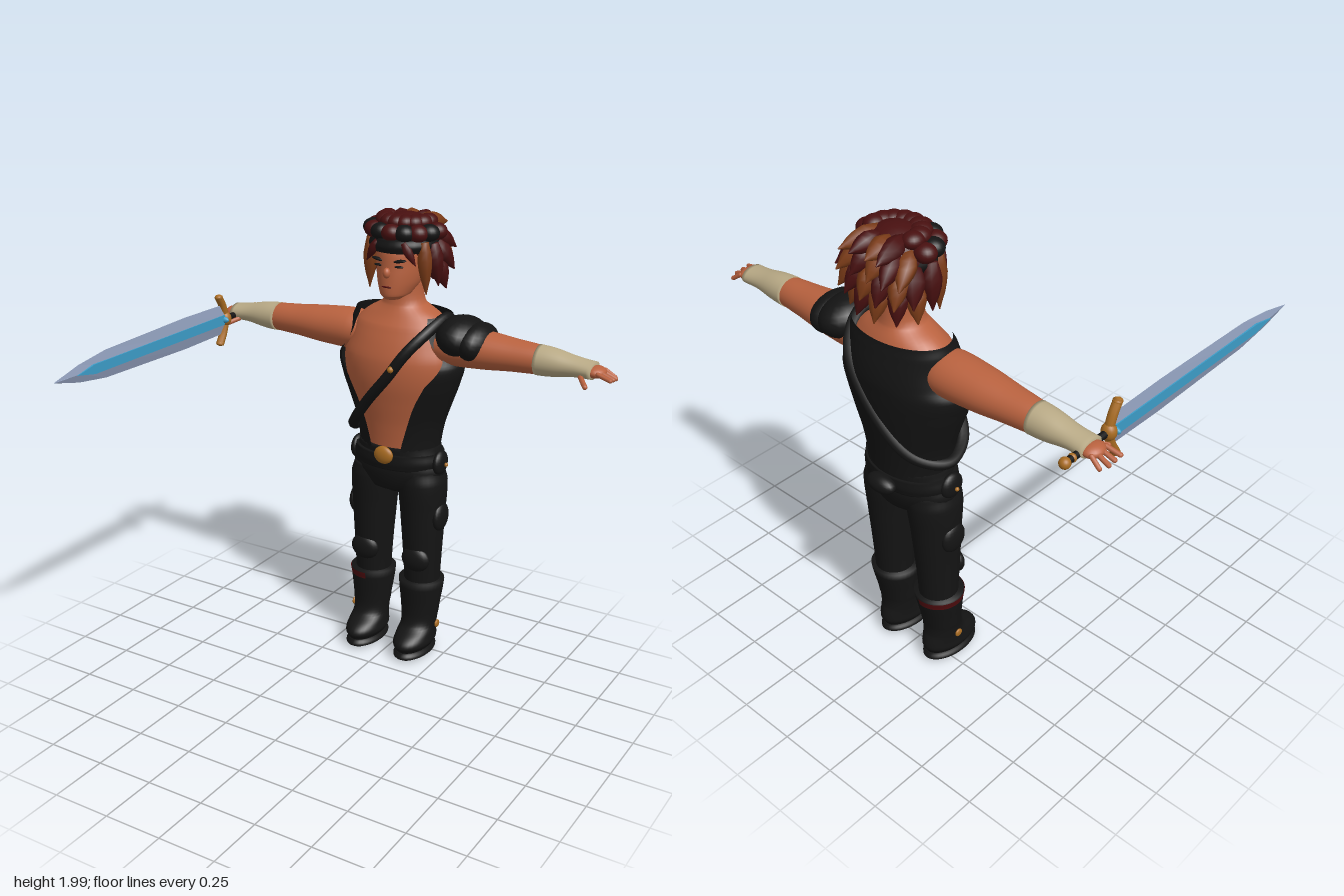
import * as THREE from 'three';

const V = (x, y, z) => new THREE.Vector3(x, y, z);
const mat = (name, color, both) => {
  const m = new THREE.MeshStandardMaterial({ color });
  m.name = name;
  if (both) m.side = THREE.DoubleSide;
  return m;
};

// Loft of elliptical rings [y, cx, rx, cz, rz, openX], rising in y.
// openX leaves a gap of that half-width at the front.
function loft(rings, { seg = 32, sub = 5, flat = false } = {}) {
  const open = rings[0].length > 5, rows = [];
  for (let i = 0; i < rings.length - 1; i++) {
    for (let k = 0; k < sub; k++) {
      const t = k / sub, t2 = t * t, t3 = t2 * t;
      const p = rings[Math.max(i - 1, 0)], a = rings[i], b = rings[i + 1];
      const q = rings[Math.min(i + 2, rings.length - 1)];
      rows.push(a.map((v, c) => c === 0 ? v + (b[c] - v) * t :
        v * (2 * t3 - 3 * t2 + 1) + b[c] * (3 * t2 - 2 * t3)
        + (b[c] - p[c]) / 2 * (t3 - 2 * t2 + t) + (q[c] - v) / 2 * (t3 - t2)));
    }
  }
  rows.push(rings[rings.length - 1]);
  const n = open ? seg + 1 : seg, pos = [], idx = [];
  for (const [y, cx, rx, cz, rz, xo = 0] of rows) {
    const a0 = Math.asin(Math.min(1, xo / rx));
    for (let j = 0; j < n; j++) {
      const a = a0 + (2 * Math.PI - 2 * a0) * j / seg;
      pos.push(cx + rx * Math.sin(a), y, cz + rz * Math.cos(a));
    }
  }
  for (let i = 0; i < rows.length - 1; i++) {
    for (let j = 0; j < seg; j++) {
      const a = i * n + j, b = i * n + (j + 1) % n;
      idx.push(a, b, b + n, a, b + n, a + n);
    }
  }
  if (!open) {
    const last = (rows.length - 1) * n, c = rows.length * n;
    for (const r of [rows[0], rows[rows.length - 1]]) pos.push(r[1], r[0], r[3]);
    for (let j = 0; j < n; j++) {
      const k = (j + 1) % n;
      idx.push(c, k, j, c + 1, last + j, last + k);
    }
  }
  let g = new THREE.BufferGeometry();
  g.setAttribute('position', new THREE.Float32BufferAttribute(pos, 3));
  g.setIndex(idx);
  if (flat) g = g.toNonIndexed();
  g.computeVertexNormals();
  return g;
}

export function createModel() {
  const root = new THREE.Group();
  root.name = 'swordsman';
  const skin = mat('skin', 0xb9623f), black = mat('black leather', 0x141414, true);
  const wrap = mat('linen', 0xb9aa86), gold = mat('gold', 0xa96c22);
  const hair = mat('dark red hair', 0x481010), tips = mat('brown hair', 0x7c3c18);
  const steel = mat('steel', 0x8f9dba), core = mat('blue steel', 0x3d9dc8);
  const red = mat('red cloth', 0x4f0c0e, true);

  const add = (name, geo, m, parent = root) => {
    const mesh = new THREE.Mesh(geo, m);
    mesh.name = name;
    parent.add(mesh);
    return mesh;
  };
  const ball = (name, m, x, y, z, rx, ry = rx, rz = rx, parent = root) => {
    const b = add(name, new THREE.SphereGeometry(1, 20, 14), m, parent);
    b.position.set(x, y, z);
    b.scale.set(rx, ry, rz);
    return b;
  };
  const between = (name, geo, m, a, b) => {
    const o = add(name, geo, m);
    o.position.copy(a).lerp(b, 0.5);
    o.quaternion.setFromUnitVectors(V(0, 1, 0), b.clone().sub(a).normalize());
    return o;
  };
  const finger = (name, a, b, r) =>
    between(name, new THREE.CapsuleGeometry(r, a.distanceTo(b), 4, 8), skin, a, b);
  const spike = (m, a, b, r, name = 'hairLock') => {
    const h = a.distanceTo(b);
    return between(name, loft([[-h / 2, 0, r * 0.6, 0, r * 0.6], [-h / 6, 0, r, 0, r],
      [h / 5, 0, r * 0.65, 0, r * 0.65], [h / 2, 0, 0.002, 0, 0.002]], { seg: 8, sub: 2 }), m, a, b);
  };

  // Torso, neck and open vest
  add('torso', loft([[0.98, 0, 0.17, -0.507, 0.13], [1.1, 0, 0.19, -0.507, 0.142],
    [1.2, 0, 0.225, -0.505, 0.158], [1.3, 0, 0.255, -0.502, 0.172], [1.39, 0, 0.262, -0.504, 0.174],
    [1.46, 0, 0.24, -0.51, 0.16], [1.53, 0, 0.215, -0.515, 0.135], [1.575, 0, 0.165, -0.52, 0.11],
    [1.62, 0, 0.092, -0.52, 0.088], [1.72, 0, 0.082, -0.52, 0.082]]), skin);
  add('vest', loft([[0.98, 0, 0.185, -0.507, 0.14, 0.07], [1.1, 0, 0.205, -0.507, 0.15, 0.10],
    [1.2, 0, 0.24, -0.505, 0.166, 0.135], [1.3, 0, 0.275, -0.502, 0.181, 0.185],
    [1.37, 0, 0.29, -0.504, 0.184, 0.235], [1.42, 0, 0.262, -0.508, 0.182, 0.235],
    [1.48, 0, 0.243, -0.512, 0.17, 0.19], [1.54, 0, 0.235, -0.517, 0.15, 0.17],
    [1.58, 0, 0.222, -0.522, 0.135, 0.16]], { seg: 48 }), black);

  // Baldric across the chest and back
  const strap = new THREE.CatmullRomCurve3([V(0.11, 1.44, -0.325), V(0.04, 1.34, -0.313),
    V(-0.07, 1.21, -0.335), V(-0.17, 1.08, -0.39), V(-0.2, 1.04, -0.5), V(-0.12, 1.1, -0.625),
    V(0.04, 1.3, -0.675), V(0.16, 1.48, -0.64), V(0.2, 1.57, -0.53), V(0.17, 1.52, -0.39)], true);
  add('baldric', new THREE.TubeGeometry(strap, 80, 0.024, 8, true), black);
  ball('baldricStud', gold, 0.065, 1.38, -0.293, 0.014);

  // Hips, belt and pouches
  add('hips', loft([[0.77, 0, 0.05, -0.505, 0.06], [0.8, 0, 0.15, -0.505, 0.115],
    [0.87, 0, 0.215, -0.505, 0.137], [0.93, 0, 0.205, -0.505, 0.138], [1, 0, 0.188, -0.507, 0.14]]), black);
  add('belt', loft([[0.9, 0, 0.205, -0.505, 0.142], [0.93, 0, 0.213, -0.505, 0.148],
    [0.97, 0, 0.205, -0.505, 0.146]]), black);
  ball('buckle', gold, 0, 0.968, -0.358, 0.046, 0.04, 0.02);
  ball('backPouch', black, 0, 0.935, -0.668, 0.07, 0.038, 0.04);

  for (const s of [1, -1]) {
    ball('hipPouch', black, s * 0.205, 0.93, -0.495, 0.026, 0.055, 0.055);
    ball('hipStud', gold, s * 0.234, 0.925, -0.495, 0.009);

    // Legs and boots
    add('leg', loft([[0.3, s * 0.126, 0.078, -0.505, 0.08], [0.5, s * 0.125, 0.087, -0.503, 0.092],
      [0.7, s * 0.122, 0.1, -0.503, 0.106], [0.83, s * 0.118, 0.108, -0.503, 0.117],
      [0.89, s * 0.112, 0.098, -0.503, 0.11]]), black);
    ball('thighPad', black, s * 0.212, 0.675, -0.5, 0.026, 0.066, 0.06);
    ball('kneePad', black, s * 0.13, 0.475, -0.43, 0.068, 0.06, 0.034);
    add('boot', loft([[0.045, s * 0.125, 0.07, -0.45, 0.125], [0.07, s * 0.125, 0.084, -0.45, 0.137],
      [0.1, s * 0.125, 0.082, -0.458, 0.125], [0.14, s * 0.125, 0.08, -0.484, 0.086],
      [0.2, s * 0.125, 0.086, -0.493, 0.08], [0.36, s * 0.125, 0.103, -0.502, 0.102]]), black);
    add('sole', loft([[0, s * 0.125, 0.05, -0.45, 0.11], [0.018, s * 0.125, 0.08, -0.45, 0.137],
      [0.045, s * 0.125, 0.065, -0.45, 0.125]]), black);
    ball('bootStud', gold, s * 0.217, 0.15, -0.487, 0.008, 0.018, 0.018);

    // Arms: lofts laid along x
    const sideways = (name, rings, m) => {
      add(name, loft(rings.map(([x, y, ry, rz]) => [x, -s * y, ry, -0.508, rz])), m).rotation.z = -s * Math.PI / 2;
    };
    sideways('arm', [[0.16, 1.465, 0.075, 0.09], [0.24, 1.465, 0.088, 0.1], [0.4, 1.463, 0.08, 0.092],
      [0.52, 1.462, 0.068, 0.077], [0.65, 1.46, 0.058, 0.062], [0.84, 1.455, 0.032, 0.044]], skin);
    sideways('wristWrap', [[0.63, 1.46, 0.063, 0.067], [0.7, 1.459, 0.058, 0.063],
      [0.79, 1.457, 0.042, 0.053], [0.87, 1.453, 0.036, 0.055]], wrap);

    // Hands
    ball('palm', skin, s * 0.878, 1.45, -0.508, 0.042, 0.025, 0.048);
    for (let i = 0; i < 4; i++) {
      const z = -0.546 + i * 0.026, l = i === 0 ? 0.94 : 0.955;
      finger('finger', V(s * 0.9, 1.452, z), V(s * l, 1.425 + 0.004 * i, -0.508 + (z + 0.508) * 1.2), 0.0095);
    }
    finger('thumb', V(s * 0.83, 1.43, -0.465), V(s * 0.87, 1.41, -0.415), 0.011);

    // Ears, brows and eyes
    ball('ear', skin, s * 0.1, 1.77, -0.5, 0.014, 0.032, 0.022);
    ball('brow', black, s * 0.047, 1.815, -0.383, 0.034, 0.007, 0.012).rotation.z = s * 0.15;
    ball('eye', black, s * 0.045, 1.792, -0.381, 0.024, 0.005, 0.009);

    // Locks framing the face
    spike(tips, V(s * 0.125, 1.89, -0.45), V(s * 0.135, 1.67, -0.46), 0.032, 'sideLock');
    spike(hair, V(s * 0.14, 1.88, -0.5), V(s * 0.16, 1.7, -0.52), 0.038, 'sideLock');
    spike(hair, V(s * 0.06, 1.89, -0.39), V(s * 0.115, 1.8, -0.4), 0.02, 'fringeLock');
  }

  // Layered shoulder guard on the left arm
  ball('shoulderGuard', black, 0.285, 1.505, -0.51, 0.105, 0.085, 0.142).rotation.z = -0.2;
  ball('lowerShoulderGuard', black, 0.355, 1.49, -0.51, 0.075, 0.082, 0.13).rotation.z = -0.2;
  // Cloth tied around the outside of the right boot
  const cloth = add('bootCloth', loft([[0.325, 0, 0.101, 0, 0.101, 0.1], [0.355, 0, 0.106, 0, 0.106, 0.105]]), red);
  cloth.position.set(-0.125, 0, -0.502);
  cloth.rotation.y = Math.PI / 2;

  // Head
  add('head', loft([[1.65, 0, 0.035, -0.42, 0.04], [1.668, 0, 0.062, -0.45, 0.085],
    [1.72, 0, 0.088, -0.483, 0.12], [1.78, 0, 0.099, -0.492, 0.125], [1.86, 0, 0.1, -0.5, 0.125],
    [1.93, 0, 0.07, -0.51, 0.09]]), skin);
  ball('nose', skin, 0, 1.765, -0.365, 0.016, 0.022, 0.018);
  ball('mouth', red, 0, 1.706, -0.366, 0.024, 0.004, 0.006);

  // Hair: cap, headband, rounded front tufts and swept-back locks
  ball('hairCap', hair, 0, 1.88, -0.53, 0.14, 0.112, 0.135);
  ball('backHair', hair, 0, 1.8, -0.565, 0.118, 0.1, 0.085);
  add('headband', loft([[1.845, 0, 0.136, -0.505, 0.134], [1.87, 0, 0.148, -0.505, 0.14],
    [1.9, 0, 0.14, -0.51, 0.136]]), black);
  for (let i = 0; i < 9; i++) {
    const a = (i - 4) * 0.4;
    ball('frontTuft', i % 2 ? black : hair, 0.142 * Math.sin(a), 1.925, -0.525 + 0.125 * Math.cos(a), 0.044, 0.036, 0.042);
    ball('crownTuft', hair, 0.095 * Math.sin(a), 1.962, -0.535 + 0.09 * Math.cos(a), 0.04, 0.032, 0.045);
  }
  [[1.1, 4, 0.17], [0.65, 6, 0.16], [0.2, 7, 0.15], [-0.3, 6, 0.15]].forEach(([lat, n, len], r) => {
    for (let j = 0; j < n; j++) {
      const az = (j / (n - 1) - 0.5) * 2.7;
      const d = V(Math.cos(lat) * Math.sin(az), Math.sin(lat), -Math.cos(lat) * Math.cos(az));
      const a = V(0, 1.85, -0.54).add(d.clone().multiply(V(0.125, 0.12, 0.1)));
      const b = a.clone().add(d.multiplyScalar(0.25).add(V(0, -0.3 - r * 0.13, -0.45 + r * 0.11)).normalize().multiplyScalar(len));
      b.z = Math.max(b.z, -0.715);
      spike((r + j) % 2 ? tips : hair, a, b, 0.04);
    }
  });

  // Sword held in the right hand, pointing forward
  const sword = new THREE.Group();
  sword.name = 'sword';
  sword.position.set(-0.852, 1.445, 0);
  root.add(sword);
  add('blade', loft([[-0.38, 0, 0.015, 0, 0.066], [-0.1, 0, 0.015, 0, 0.07], [0.42, 0, 0.014, 0, 0.058],
    [0.58, 0, 0.011, 0, 0.036], [0.72, 0, 0.001, 0, 0.001]], { seg: 4, sub: 1, flat: true }), steel, sword)
    .rotation.x = Math.PI / 2;
  const stripe = new THREE.Shape([[-0.37, -0.022], [0.5, -0.02], [0.6, 0], [0.5, 0.02], [-0.37, 0.022]]
    .map(p => new THREE.Vector2(...p)));
  const inlay = add('bladeInlay', new THREE.ExtrudeGeometry(stripe, { depth: 0.03, bevelEnabled: false }), core, sword);
  inlay.rotation.y = -Math.PI / 2;
  inlay.position.x = 0.015;
  const guard = new THREE.CatmullRomCurve3([V(0, -0.112, -0.345), V(0, -0.06, -0.375), V(0, 0, -0.39),
    V(0, 0.06, -0.375), V(0, 0.112, -0.345)]);
  add('guard', new THREE.TubeGeometry(guard, 20, 0.018, 10), gold, sword);
  for (const s of [1, -1]) ball('guardEnd', gold, 0, s * 0.105, -0.35, 0.019, 0.013, 0.019, sword);
  ball('guardBoss', gold, 0, 0, -0.39, 0.03, 0.035, 0.028, sword);
  ball('guardGem', core, 0, 0, -0.37, 0.036, 0.016, 0.014, sword);
  const grip = add('grip', new THREE.CylinderGeometry(0.014, 0.014, 0.22, 14), black, sword);
  grip.rotation.x = Math.PI / 2;
  grip.position.z = -0.5;
  ball('gripCollar', gold, 0, 0, -0.585, 0.017, 0.017, 0.012, sword);
  ball('pommel', gold, 0, 0, -0.625, 0.022, 0.022, 0.022, sword);
  return root;
}
